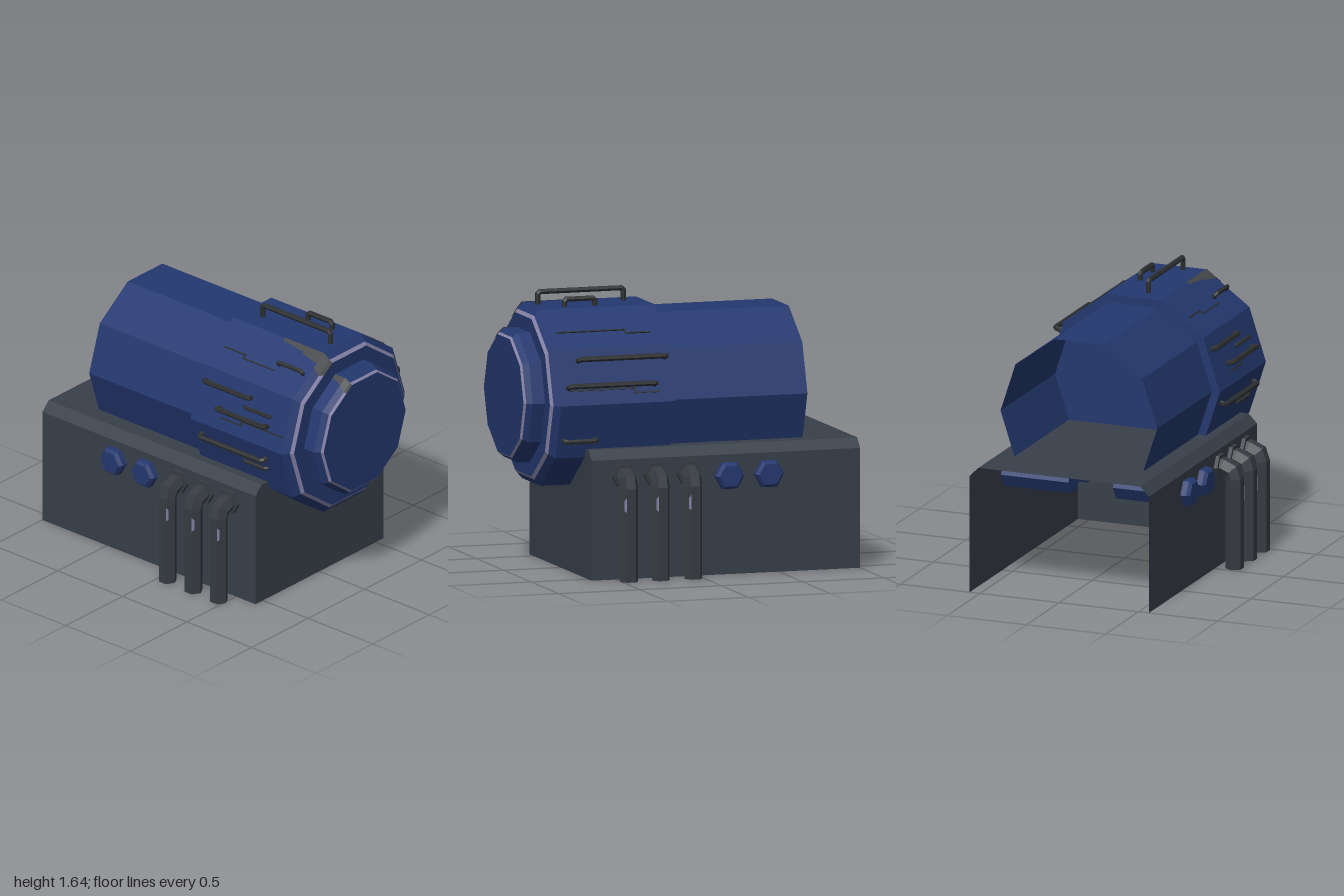
import * as THREE from 'three';

const mat = (name, color) => new THREE.MeshStandardMaterial({ name, color, flatShading: true, side: THREE.DoubleSide });
const CY = 1.03, AP = Math.cos(Math.PI / 10), HALF = Math.sin(Math.PI / 10), DEG = Math.PI / 180;

export function createModel() {
  const model = new THREE.Group();
  const blue = mat('paintedBlue', 0x24386f), grey = mat('bodyGrey', 0x383f49);
  const dark = mat('handleDark', 0x2c2f31), pipeGrey = mat('pipeGrey', 0x363b41);
  const lilac = mat('wornEdgeLilac', 0x8582a6), bare = mat('bareMetal', 0x46484a);

  const add = (parent, name, geometry, material) => {
    const mesh = new THREE.Mesh(geometry, material);
    mesh.name = name;
    parent.add(mesh);
    return mesh;
  };

  // Four-cornered flat face
  const quad = (parent, name, corners, material) => {
    const g = new THREE.BufferGeometry();
    g.setAttribute('position', new THREE.Float32BufferAttribute(corners.flat(), 3));
    g.setIndex([0, 1, 2, 0, 2, 3]);
    g.computeVertexNormals();
    return add(parent, name, g, material);
  };

  // Mitred tube along a planar path; n is the plane's normal
  const sweep = (path, n, r, sides) => {
    const pts = path.map(p => new THREE.Vector3(...p));
    const normal = new THREE.Vector3(...n), pos = [], idx = [];
    const last = pts.length - 1;
    pts.forEach((p, i) => {
      const a = pts[Math.max(i - 1, 0)], b = pts[Math.max(i, 1)];
      const c = pts[Math.min(i, last - 1)], d = pts[Math.min(i + 1, last)];
      const into = b.clone().sub(a).normalize(), out = d.clone().sub(c).normalize();
      const t = into.clone().add(out).normalize(), mitre = 1 / t.dot(into);
      const side = t.clone().cross(normal);
      for (let k = 0; k < sides; k++) {
        const w = k / sides * Math.PI * 2;
        const q = p.clone().addScaledVector(normal, r * Math.cos(w)).addScaledVector(side, r * mitre * Math.sin(w));
        pos.push(q.x, q.y, q.z);
      }
    });
    for (let i = 0; i < last; i++) for (let k = 0; k < sides; k++) {
      const a = i * sides + k, b = i * sides + (k + 1) % sides;
      idx.push(a, a + sides, b, b, a + sides, b + sides);
    }
    for (let k = 1; k < sides - 1; k++) {
      idx.push(0, k, k + 1, last * sides, last * sides + k + 1, last * sides + k);
    }
    const g = new THREE.BufferGeometry();
    g.setAttribute('position', new THREE.Float32BufferAttribute(pos, 3));
    g.setIndex(idx);
    g.computeVertexNormals();
    return g;
  };

  // Ten-sided turned part along z, from [radius, z] pairs
  const turned = (name, profile, material, start = 0, faces = 10) => {
    const g = new THREE.LatheGeometry(profile.map(p => new THREE.Vector2(...p)), faces,
      Math.PI / 2 + start * DEG, faces * 36 * DEG);
    g.rotateX(Math.PI / 2).translate(0, CY, 0);
    return add(model, name, g, material);
  };

  // Housing: open at the back and underneath, chamfered shoulders
  const housing = new THREE.Group();
  housing.name = 'housing';
  model.add(housing);
  const section = [[-0.565, 0], [-0.565, 0.705], [-0.51, 0.76], [0.51, 0.76], [0.565, 0.705], [0.565, 0]];
  ['rightWall', 'rightShoulder', 'roof', 'leftShoulder', 'leftWall'].forEach((name, i) => {
    const [a, b] = [section[i], section[i + 1]];
    quad(housing, name, [[...a, 0.65], [...b, 0.65], [...b, -1], [...a, -1]], grey);
  });
  const frontShape = new THREE.Shape(section.map(p => new THREE.Vector2(...p)));
  add(housing, 'frontWall', new THREE.ShapeGeometry(frontShape).translate(0, 0, 0.65), grey);

  // Drum, lid and rear hood
  turned('drum', [[0, 0.13], [0.545, 0.13], [0.545, 0.83], [0.507, 0.865]], blue);
  turned('drumWornEdge', [[0.507, 0.865], [0.487, 0.88]], lilac);
  turned('drumFace', [[0.487, 0.88], [0.4, 0.88]], blue);
  turned('lid', [[0.4, 0.88], [0.4, 0.955], [0.375, 0.988]], blue);
  turned('lidWornEdge', [[0.375, 0.988], [0.362, 1]], lilac);
  turned('lidFace', [[0.362, 1], [0, 1]], blue);
  turned('rearHood', [[0.494, -0.7], [0.494, 0.13]], blue, -36, 7);

  // One group per drum facet: local x points outward, y runs across the facet
  const facets = {};
  const facet = angle => {
    if (!facets[angle]) {
      const g = facets[angle] = new THREE.Group();
      g.name = 'drumFacet' + angle;
      g.position.y = CY;
      g.rotation.z = angle * DEG;
      model.add(g);
    }
    return facets[angle];
  };
  const surface = 0.545 * AP;

  // Handles: facet angle, offset across it, z from, z to, height, bar radius
  [
    [90, 0.045, 0.25, 0.775, 0.09, 0.016], [90, -0.1, 0.475, 0.66, 0.06, 0.016],
    [18, 0.095, 0.17, 0.7, 0.065, 0.016], [18, -0.063, 0.25, 0.775, 0.065, 0.016],
    [-18, -0.053, 0.6, 0.79, 0.045, 0.016], [126, 0, 0.61, 0.79, 0.045, 0.014],
    [162, -0.084, 0.19, 0.53, 0.05, 0.016], [162, -0.02, 0.5, 0.7, 0.025, 0.012],
    [162, 0.042, 0.33, 0.69, 0.06, 0.016], [198, -0.084, 0.2, 0.69, 0.05, 0.016],
    [198, 0, 0.5, 0.68, 0.022, 0.012],
  ].forEach(([angle, s, z0, z1, h, r]) => {
    const top = surface + h - r, low = surface - 0.01, c = 0.012;
    const path = [[low, s, z0], [top - c, s, z0], [top, s, z0 + c], [top, s, z1 - c], [top - c, s, z1], [low, s, z1]];
    add(facet(angle), 'handle', sweep(path, [0, 1, 0], r, 6), dark);
  });

  // Stepped seam strips: facet angle, offset, offset after the step, z start, step, end
  [
    [54, -0.032, -0.06, 0.79, 0.37, 0.22], [18, -0.08, -0.107, 0.77, 0.37, 0.22],
    [126, 0.045, 0.02, 0.6, 0.36, 0.2], [162, 0.07, 0.095, 0.82, 0.5, 0.34],
  ].forEach(([angle, s0, s1, za, zb, zc]) => {
    const strip = (w, l, s, z) => add(facet(angle), 'seamStrip',
      new THREE.BoxGeometry(0.009, w, l).translate(surface + 0.002, s, z), dark);
    strip(0.008, za - zb, s0, (za + zb) / 2);
    strip(0.008, zb - zc, s1, (zb + zc) / 2);
    strip(Math.abs(s1 - s0) + 0.008, 0.008, (s0 + s1) / 2, zb);
  });

  // Scraped paint running over the upper edge of drum and lid
  const scrape = (r0, z0, r1, z1, w0, w1) => {
    const e = 0.003;
    quad(facet(126), 'scrapedPaint', [
      [r0 * AP + e, -r0 * HALF, z0 + e], [r0 * AP + e, -r0 * HALF + w0, z0 + e],
      [r1 * AP + e, -r1 * HALF + w1, z1 + e], [r1 * AP + e, -r1 * HALF, z1 + e]], bare);
  };
  scrape(0.545, 0.53, 0.545, 0.7, 0.02, 0.04);
  scrape(0.545, 0.7, 0.545, 0.83, 0.05, 0.08);
  scrape(0.545, 0.83, 0.507, 0.865, 0.11, 0.12);
  scrape(0.507, 0.865, 0.487, 0.88, 0.12, 0.09);
  scrape(0.4, 0.88, 0.4, 0.955, 0.03, 0.05);
  scrape(0.4, 0.955, 0.375, 0.988, 0.06, 0.07);
  scrape(0.375, 0.988, 0.362, 1, 0.07, 0.06);

  // Side fittings, the same on both sides
  for (const side of [1, -1]) {
    const label = side > 0 ? 'left' : 'right';

    // Bent exhaust pipes with wall flanges
    for (const z of [0.455, 0.26, 0.06]) {
      const path = [[0.55, 0.612], [0.6, 0.61], [0.65, 0.588], [0.667, 0.54], [0.667, 0]];
      add(model, label + 'Pipe', sweep(path.map(([x, y]) => [side * x, y, z]), [0, 0, 1], 0.055, 6), pipeGrey);
      const flange = new THREE.CylinderGeometry(0.075, 0.075, 0.03, 6);
      flange.rotateZ(Math.PI / 2).translate(side * 0.573, 0.612, z);
      add(model, label + 'PipeFlange', flange, pipeGrey);
      const xo = 0.717 * side, xi = 0.702 * side, zo = z + 0.029, zi = z + 0.038;
      quad(model, label + 'PipeWear', [[xo, 0.41, zo], [xi, 0.42, zi], [xi, 0.48, zi], [xo, 0.5, zo]], lilac);
    }

    // Long hexagonal bolts reaching into the housing
    for (const z of [-0.19, -0.433]) {
      const bolt = new THREE.LatheGeometry([[0, 0.14], [0.088, 0.14], [0.088, 0.6], [0.07, 0.62], [0, 0.62]]
        .map(p => new THREE.Vector2(...p)), 6);
      bolt.rotateZ(-side * Math.PI / 2).translate(0, 0.583, z);
      add(model, label + 'Bolt', bolt, blue);
    }
  }
  return model;
}
